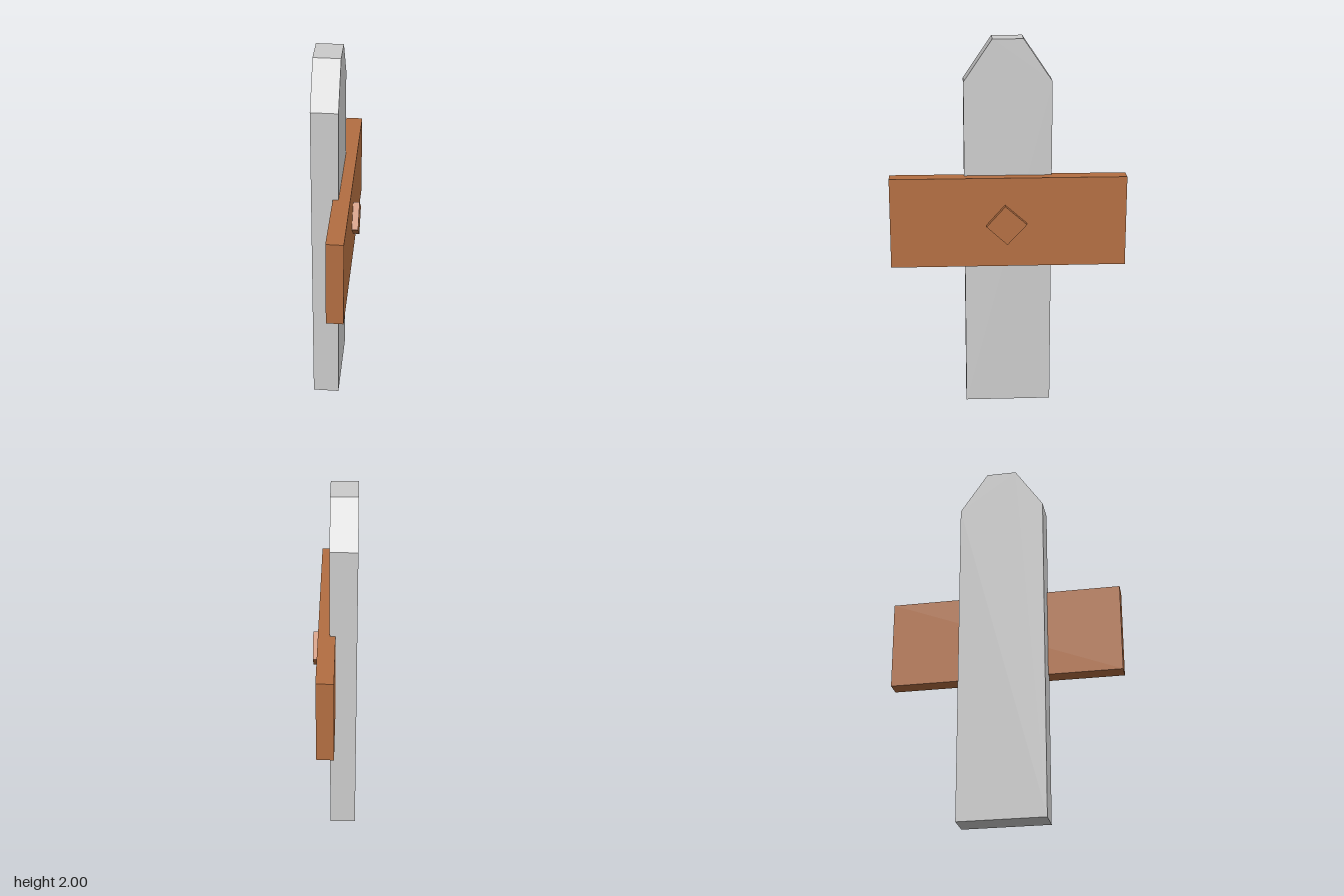
import * as THREE from 'three';

// Extrudes a side outline of [z, y] points from x0 to x1.
function slab(name, points, x0, x1, color) {
  const shape = new THREE.Shape(points.map(([z, y]) => new THREE.Vector2(-z, y)));
  const geometry = new THREE.ExtrudeGeometry(shape, { depth: x1 - x0, bevelEnabled: false });
  geometry.rotateY(Math.PI / 2).translate(x0, 0, 0);
  const mesh = new THREE.Mesh(geometry, new THREE.MeshStandardMaterial({ color, flatShading: true }));
  mesh.name = name;
  return mesh;
}

export function createModel() {
  const group = new THREE.Group();
  group.name = 'fencePost';
  const wood = 0xb36e41;

  // Upright post with chamfered top
  group.add(slab('post', [
    [0.23, 0], [-0.23, 0], [-0.23, 1.78], [-0.08, 2], [0.08, 2], [0.23, 1.78],
  ], -0.117, 0.022, 0xcccccc));

  // Cross board let into the post
  group.add(slab('crossBoard', [
    [0.622, 0.803], [-0.622, 0.803], [-0.622, 1.285], [0.622, 1.285],
  ], -0.007, 0.082, wood));

  // Slightly skewed square peg
  group.add(slab('peg', [
    [0.018, 1.14], [0.117, 1.03], [0.007, 0.93], [-0.096, 1.04],
  ], 0.03, 0.115, wood));

  return group;
}
